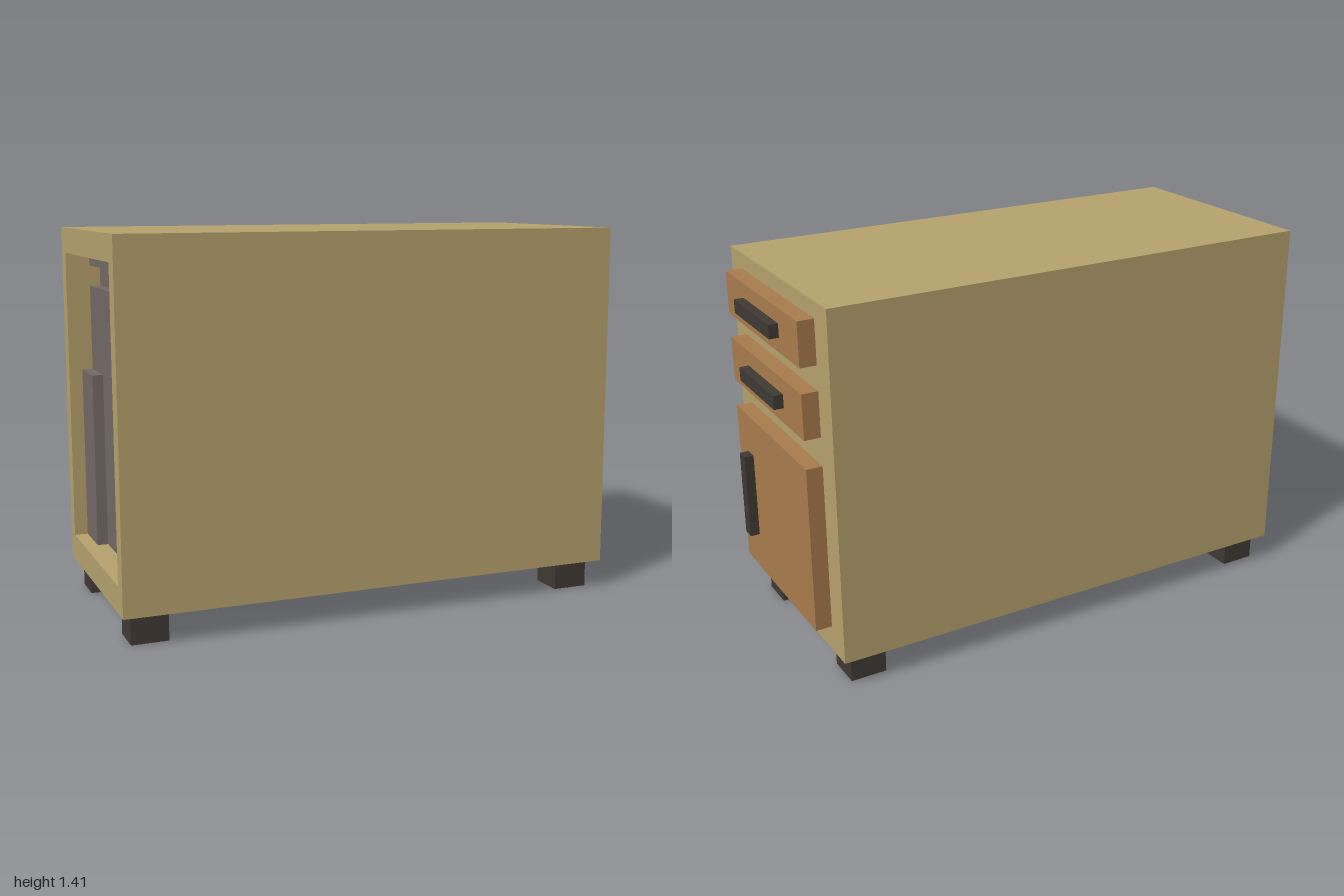
import * as THREE from 'three';

const mat = (name, color) => {
  const m = new THREE.MeshStandardMaterial({ color });
  m.name = name;
  return m;
};

export function createModel() {
  const model = new THREE.Group();
  model.name = 'cabinet';
  const body = mat('paleWood', 0xb6a26e);
  const front = mat('brownWood', 0xa87c4c);
  const dark = mat('darkMetal', 0x403a34);
  const grey = mat('greyPanel', 0x746a67);

  // Box given by its ranges on each axis
  const box = (name, m, [x0, x1], [y0, y1], [z0, z1]) => {
    const mesh = new THREE.Mesh(new THREE.BoxGeometry(x1 - x0, y1 - y0, z1 - z0), m);
    mesh.position.set((x0 + x1) / 2, (y0 + y1) / 2, (z0 + z1) / 2);
    mesh.name = name;
    model.add(mesh);
  };

  // Carcass: a rectangular tube, open at the rear end
  const rect = (path, w, y0, y1) => {
    path.moveTo(-w, y0);
    path.lineTo(w, y0);
    path.lineTo(w, y1);
    path.lineTo(-w, y1);
    path.closePath();
    return path;
  };
  const section = rect(new THREE.Shape(), 0.435, 0.11, 1.41);
  section.holes.push(rect(new THREE.Path(), 0.37, 0.21, 1.315));
  const tube = new THREE.ExtrudeGeometry(section, { depth: 1.8, bevelEnabled: false });
  tube.rotateY(Math.PI / 2);
  const carcass = new THREE.Mesh(tube, body);
  carcass.position.x = -1;
  carcass.name = 'carcass';
  model.add(carcass);
  box('frontWall', body, [0.8, 0.905], [0.11, 1.41], [-0.435, 0.435]);

  // Drawers and door, each with a bar handle
  for (const [y0, y1, h0, h1] of [[1.19, 1.35, 1.245, 1.295], [0.935, 1.1, 0.993, 1.043]]) {
    box('drawerFront', front, [0.905, 0.965], [y0, y1], [-0.332, 0.332]);
    box('drawerHandle', dark, [0.965, 1], [h0, h1], [-0.163, 0.163]);
  }
  box('door', front, [0.905, 0.965], [0.208, 0.83], [-0.332, 0.332]);
  box('doorHandle', dark, [0.965, 1], [0.355, 0.68], [0.19, 0.24]);

  // Feet
  for (const x of [-0.897, 0.797])
    for (const z of [-0.325, 0.325])
      box('foot', dark, [x - 0.068, x + 0.068], [0, 0.11], [z - 0.066, z + 0.066]);

  // Recessed rear panel with its raised frame
  const face = [-0.91, -0.87];
  box('rearPanel', grey, [-0.87, -0.84], [0.21, 1.315], [-0.37, 0.37]);
  box('frameSide', grey, face, [0.21, 1.315], [0.325, 0.37]);
  box('frameTop', grey, face, [1.265, 1.315], [-0.37, 0.325]);
  box('frameBottom', grey, face, [0.21, 0.26], [0.03, 0.325]);

  // Raised blocks beside the open bay
  box('upperBlock', grey, face, [0.896, 1.187], [-0.37, 0.03]);
  box('middleBlock', grey, face, [0.21, 0.896], [-0.37, 0.03]);
  box('lowerBlock', grey, [-0.95, -0.91], [0.21, 0.865], [-0.37, -0.185]);
  return model;
}
